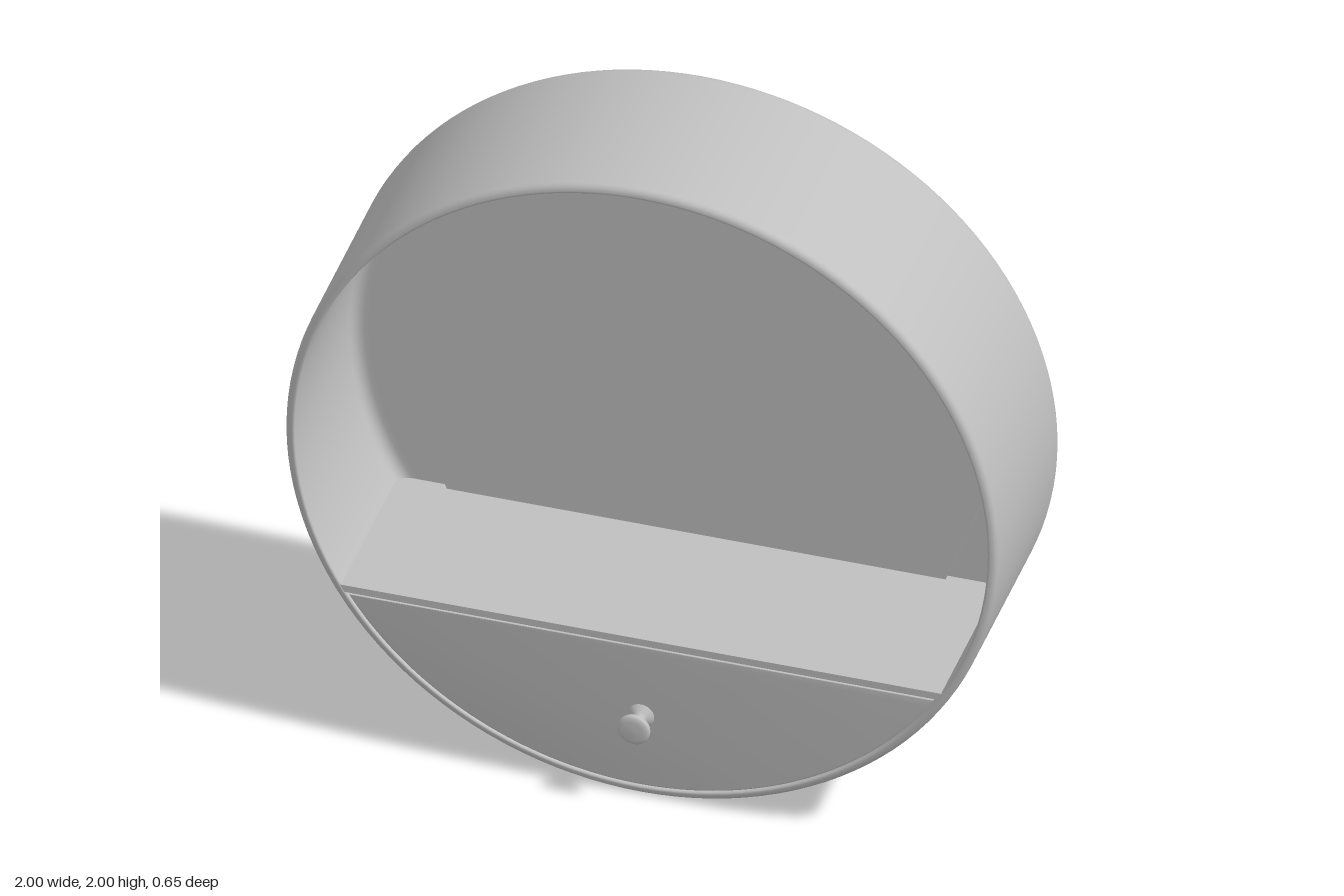
import * as THREE from 'three';
import { toCreasedNormals } from 'three/addons/utils/BufferGeometryUtils.js';

const CY = 1;                          // height of the circle centre
const FRONT = 0.245, BACK = -0.32;     // depth of the round case
const INSIDE = -0.275;                 // inner face of the back wall
const FLOOR = 0.515;                   // top of the shelf floor

// Extrude a shape between two depths, with an optional rounded edge
function slab(shape, z0, z1, bevel = 0) {
  const g = new THREE.ExtrudeGeometry(shape, {
    depth: z1 - z0 - 2 * bevel, curveSegments: 96, bevelEnabled: bevel > 0,
    bevelSize: bevel, bevelThickness: bevel, bevelOffset: -bevel, bevelSegments: 3,
  });
  g.translate(0, 0, z0 + bevel);
  return toCreasedNormals(g, 0.6);
}

// Turn a profile of [radius, z] points around the z axis
function turned(points, segments) {
  const g = new THREE.LatheGeometry(points.map(([r, z]) => new THREE.Vector2(r, z)), segments);
  return g.rotateX(Math.PI / 2);
}

// Quarter arc of profile points around (r, z)
function arc(r, z, radius, from, turn = 1) {
  return Array.from({ length: 6 }, (_, i) => {
    const t = from + turn * (i / 5) * Math.PI / 2;
    return [r + radius * Math.cos(t), z + radius * Math.sin(t)];
  });
}

export function createModel() {
  const model = new THREE.Group();
  const grey = new THREE.MeshStandardMaterial({ color: 0xc0c0c0 });
  grey.name = 'plain grey';
  const add = (name, geometry) => {
    const mesh = new THREE.Mesh(geometry, grey);
    mesh.name = name;
    model.add(mesh);
    return mesh;
  };

  // Round dish-shaped case: back, outer band, rounded rim and inner wall
  const inner = 0.972;
  const casing = [
    [0, BACK], [0.96, BACK],
    ...arc(0.98, BACK + 0.02, 0.02, -Math.PI / 2),
    [1, BACK + 0.03], [1, FRONT - 0.03],
    ...arc(0.98, FRONT - 0.02, 0.02, 0),
    ...arc(inner + 0.006, FRONT - 0.006, 0.006, Math.PI / 2),
    [inner, FRONT - 0.02], [inner, INSIDE + 0.045],
    ...arc(inner - 0.035, INSIDE + 0.035, 0.035, 0, -1),
    [0.92, INSIDE], [0, INSIDE],
  ];
  add('roundCase', turned(casing, 128)).position.y = CY;

  // Shelf floor: a strip between two chords
  const halfWidth = (y) => Math.sqrt(0.985 ** 2 - (y - CY) ** 2);
  const strip = new THREE.Shape();
  strip.moveTo(-halfWidth(0.493), 0.493);
  strip.lineTo(halfWidth(0.493), 0.493);
  strip.lineTo(halfWidth(FLOOR), FLOOR);
  strip.lineTo(-halfWidth(FLOOR), FLOOR);
  strip.closePath();
  add('shelfFloor', slab(strip, INSIDE - 0.01, FRONT - 0.001));

  // Mirror panel with straight lower sides
  const a = Math.asin(-0.2 / 0.83);
  const mirror = new THREE.Shape();
  mirror.moveTo(-0.7, FLOOR);
  mirror.lineTo(0.7, FLOOR);
  mirror.absarc(0, CY, 0.83, a, Math.PI - a, false);
  mirror.closePath();
  add('mirrorPanel', slab(mirror, INSIDE, INSIDE + 0.018));

  // Drawer filling the lower segment, standing slightly proud at the back
  const chord = Math.asin((0.489 - CY) / 0.967);
  const segment = new THREE.Shape();
  segment.absarc(0, CY, 0.967, Math.PI - chord, 2 * Math.PI + chord, false);
  segment.closePath();
  add('drawer', slab(segment, BACK - 0.005, FRONT, 0.004));

  // Turned drawer knob
  const knob = [[0.04, 0.24], [0.036, 0.248], [0.022, 0.257], [0.016, 0.268], [0.019, 0.28],
    [0.033, 0.293], [0.044, 0.302], [0.046, 0.308], [0.046, 0.314], [0.042, 0.319], [0.03, 0.322], [0, 0.323]];
  add('drawerKnob', turned(knob, 40)).position.y = 0.262;

  return model;
}
